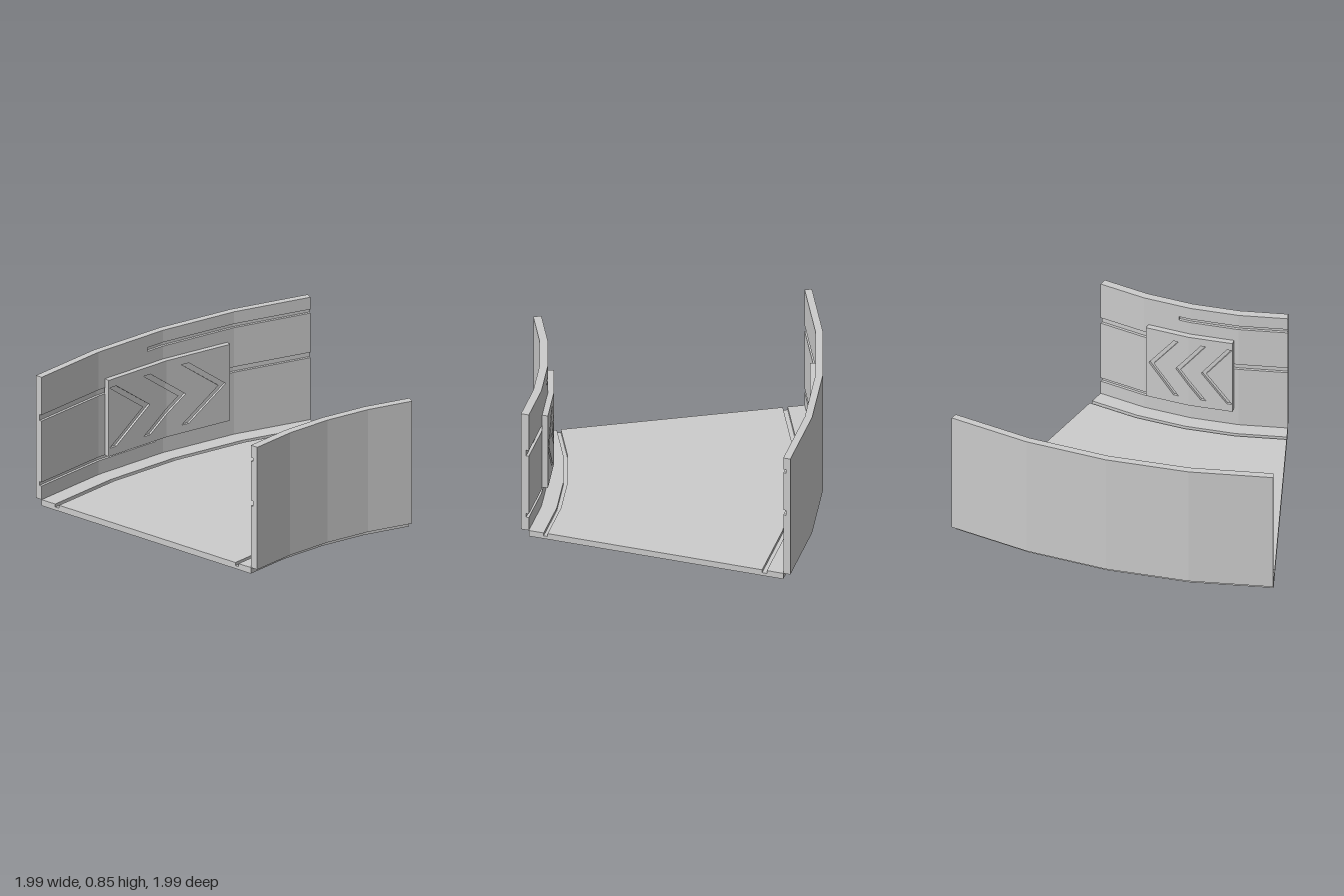
import * as THREE from 'three';
import { mergeGeometries } from 'three/addons/utils/BufferGeometryUtils.js';

const CX = -0.902, CZ = 3.0;            // centre of the bend
const A0 = -1.33, A1 = 28.3, SEG = 4;   // swept angle in degrees, straight segments
const material = new THREE.MeshStandardMaterial({ color: 0xcccccc });

// Point on the faceted arc: u runs 0..1 along the bend, r is the radius
function arcPoint(u, r) {
  const k = Math.min(SEG - 1, Math.max(0, Math.floor(u * SEG)));
  const t = u * SEG - k;
  const corner = (i) => {
    const a = THREE.MathUtils.degToRad(A0 + (A1 - A0) * i / SEG);
    return [CX + r * Math.sin(a), CZ - r * Math.cos(a)];
  };
  const p = corner(k), q = corner(k + 1);
  return [p[0] + (q[0] - p[0]) * t, p[1] + (q[1] - p[1]) * t];
}

// Bends a flat geometry (x = u, y = height, z = -radius) onto the arc
function bend(geo) {
  const g = geo.index ? geo.toNonIndexed() : geo;
  const pos = g.attributes.position;
  for (let i = 0; i < pos.count; i++) {
    const [x, z] = arcPoint(pos.getX(i), -pos.getZ(i));
    pos.setXYZ(i, x, pos.getY(i), z);
  }
  g.deleteAttribute('uv');
  g.computeVertexNormals();
  return g;
}

// Curved block, split where the arc has its corners
function block(u0, u1, y0, y1, r0, r1) {
  const stops = [u0];
  for (let k = 1; k < SEG; k++) if (k / SEG > u0 && k / SEG < u1) stops.push(k / SEG);
  stops.push(u1);
  const parts = [];
  for (let i = 0; i + 1 < stops.length; i++) {
    const a = stops[i], b = stops[i + 1];
    const box = new THREE.BoxGeometry(b - a, y1 - y0, r1 - r0);
    box.translate((a + b) / 2, (y0 + y1) / 2, -(r0 + r1) / 2);
    parts.push(bend(box));
  }
  return mergeGeometries(parts);
}

function mesh(name, geos) {
  const m = new THREE.Mesh(mergeGeometries(geos), material);
  m.name = name;
  return m;
}

// Inner wall facing: strips that leave four shallow grooves between them
const STRIPS = [
  [0, 1, 0.04, 0.13], [0.47, 1, 0.13, 0.155], [0, 1, 0.155, 0.45],
  [0, 0.7, 0.45, 0.485], [0, 1, 0.485, 0.56], [0.3, 1, 0.56, 0.6],
  [0, 1, 0.6, 0.745], [0, 0.44, 0.745, 0.77], [0, 1, 0.77, 0.85],
];

function wall(name, back, face, flip) {
  const geos = [block(0, 1, 0.04, 0.85, ...back)];
  for (const [a, b, y0, y1] of STRIPS) {
    geos.push(flip ? block(1 - b, 1 - a, y0, y1, ...face) : block(a, b, y0, y1, ...face));
  }
  return mesh(name, geos);
}

// Sign panel with three sunken chevrons; its face is two flat halves
const P0 = 0.274, P1 = 0.726, PY0 = 0.155, PY1 = 0.66;
const MID = 0.408, RISE = 0.2, REACH = 0.29, BAND = 0.057;
const toU = (f) => P0 + (P1 - P0) * f;
const outline = (pts) => pts.map(([f, y]) => new THREE.Vector2(toU(f), y));
const armY = (f, tip) => RISE * (tip - f) / REACH;   // arm height above the middle

function chevron(tip) {
  const end = tip - REACH;
  return new THREE.Path(outline([
    [tip, MID], [end, MID + RISE], [end - BAND, MID + RISE],
    [tip - BAND, MID], [end - BAND, MID - RISE], [end, MID - RISE],
  ]));
}

function panel(name, backing, face) {
  const tip = 0.65, end = tip - REACH;
  const hi = armY(0.5, tip), lo = armY(0.5, tip - BAND);
  const left = new THREE.Shape(outline([
    [0, PY0], [0.5, PY0],
    [0.5, MID - hi], [end, MID - RISE], [end - BAND, MID - RISE], [0.5, MID - lo],
    [0.5, MID + lo], [end - BAND, MID + RISE], [end, MID + RISE], [0.5, MID + hi],
    [0.5, PY1], [0, PY1],
  ]));
  left.holes.push(chevron(0.352 + 0.003));
  const right = new THREE.Shape(outline([
    [0.5, PY0], [1, PY0], [1, PY1], [0.5, PY1],
    [0.5, MID + hi], [tip, MID], [0.5, MID - hi],
  ]));
  right.holes.push(chevron(0.965));
  // Middle tip left standing inside the central chevron
  const tongue = new THREE.Shape(outline([
    [0.5, MID - lo], [tip - BAND, MID], [0.5, MID + lo],
  ]));
  const geos = [block(P0, P1, PY0, PY1, ...backing)];
  for (const shape of [left, right, tongue]) {
    const g = new THREE.ExtrudeGeometry(shape, { depth: face[1] - face[0], bevelEnabled: false });
    g.translate(0, 0, -face[1]);
    geos.push(bend(g));
  }
  return mesh(name, geos);
}

export function createModel() {
  const group = new THREE.Group();
  group.name = 'curvedCorridor';

  // Floor slab with a groove running along each wall
  group.add(mesh('floor', [
    block(0, 1, 0, 0.02, 2.33, 3.955),
    block(0, 1, 0.02, 0.04, 2.33, 2.425),
    block(0, 1, 0.02, 0.04, 2.45, 3.82),
    block(0, 1, 0.02, 0.04, 3.85, 3.955),
  ]));

  // Walls
  group.add(wall('outerWall', [3.972, 4.0], [3.955, 3.972], false));
  group.add(wall('innerWall', [2.28, 2.313], [2.313, 2.33], true));

  // Direction panels
  group.add(panel('outerPanel', [3.935, 3.956], [3.92, 3.935]));
  group.add(panel('innerPanel', [2.329, 2.35], [2.35, 2.366]));
  return group;
}
